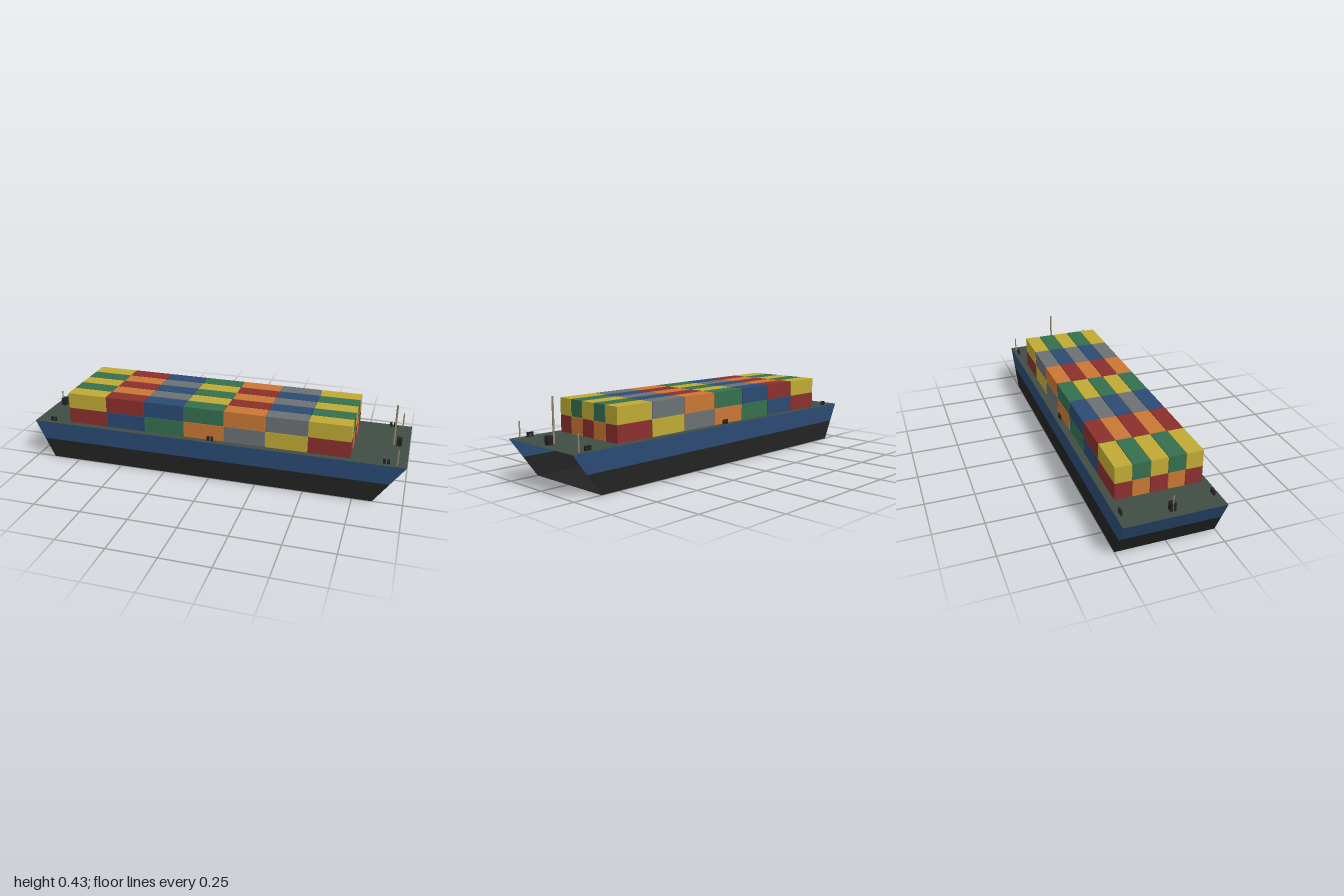
import * as THREE from 'three';

const DECK = 0.206, HALF = 0.25;

function material(name, color, side = THREE.FrontSide) {
  const m = new THREE.MeshStandardMaterial({ color, side });
  m.name = name;
  return m;
}

// Flat quads, each given as four corners counter-clockwise from outside
function quads(list) {
  const pos = [];
  for (const [a, b, c, d] of list) pos.push(...a, ...b, ...c, ...a, ...c, ...d);
  const g = new THREE.BufferGeometry();
  g.setAttribute('position', new THREE.Float32BufferAttribute(pos, 3));
  g.computeVertexNormals();
  return g;
}

// Raked ends: x of the stern and bow edges at height y
const sternX = y => -0.9 - 0.1 * y / DECK;
const bowX = y => 0.85 + 0.15 * y / DECK;

// Both sides and the stern between two heights; the bow end is open
function hullBand(y0, y1) {
  const p = (f, y, z) => [f(y), y, z * HALF];
  return [
    [p(sternX, y0, 1), p(bowX, y0, 1), p(bowX, y1, 1), p(sternX, y1, 1)],
    [p(bowX, y0, -1), p(sternX, y0, -1), p(sternX, y1, -1), p(bowX, y1, -1)],
    [p(sternX, y0, -1), p(sternX, y0, 1), p(sternX, y1, 1), p(sternX, y1, -1)],
  ];
}

// Horizontal sheet spanning the hull at height y
function sheet(y, up) {
  const q = [[sternX(y), y, HALF], [bowX(y), y, HALF], [bowX(y), y, -HALF], [sternX(y), y, -HALF]];
  return up ? q : q.reverse();
}

export function createModel() {
  const ship = new THREE.Group();
  ship.name = 'cargoShip';

  const blue = material('blue', 0x2b4a73, THREE.DoubleSide);
  const black = material('black', 0x232323, THREE.DoubleSide);
  const deckGreen = material('deckGreen', 0x404d44, THREE.DoubleSide);
  const tan = material('tan', 0x958a6b);
  const paints = [
    material('red', 0x8b302d), blue, material('green', 0x356f4e),
    material('orange', 0xc97734), material('grey', 0x6b7073), material('yellow', 0xbfaa35),
  ];

  const add = (parent, name, geometry, mat, x = 0, y = 0, z = 0) => {
    const mesh = new THREE.Mesh(geometry, mat);
    mesh.name = name;
    mesh.position.set(x, y, z);
    parent.add(mesh);
    return mesh;
  };

  // Hull
  const waterline = 0.106;
  add(ship, 'lowerHull', quads([...hullBand(0, waterline), sheet(0, false)]), black);
  add(ship, 'upperHull', quads(hullBand(waterline, DECK)), blue);
  add(ship, 'deck', quads([sheet(DECK, true)]), deckGreen);

  // Container stacks: seven bays, five rows, two tiers
  const containers = new THREE.Group();
  containers.name = 'containers';
  ship.add(containers);
  const box = new THREE.BoxGeometry(0.2145, 0.0845, 0.0835);
  for (let tier = 0; tier < 2; tier++)
    for (let row = 0; row < 5; row++)
      for (let bay = 0; bay < 7; bay++)
        add(containers, 'container', box, paints[(bay + 3 * row + 5 * tier) % 6],
          -0.693 + bay * 0.2183, 0.2495 + tier * 0.0865, 0.1765 - row * 0.0871);

  // Paired mooring bollards along both sides
  const bollard = new THREE.BoxGeometry(0.013, 0.023, 0.009);
  for (const x of [-0.9, 0, 0.9])
    for (const z of [-0.224, 0.224])
      for (const dx of [-0.01, 0.01])
        add(ship, 'bollard', bollard, black, x + dx, DECK + 0.0115, z);

  // Winch at each end
  const winch = new THREE.BoxGeometry(0.026, 0.042, 0.028);
  for (const x of [-0.95, 0.947]) add(ship, 'winch', winch, black, x, DECK + 0.021, 0);

  // Mast and light posts
  const pole = (name, x, z, r, top) => {
    const h = top - DECK;
    add(ship, name, new THREE.CylinderGeometry(r, r, h, 8), tan, x, DECK + h / 2, z);
  };
  pole('mast', 0.92, 0, 0.005, 0.425);
  pole('sternPost', -0.96, 0, 0.0035, 0.287);
  for (const z of [-0.23, 0.23]) pole('bowPost', 0.953, z, 0.0035, 0.287);

  return ship;
}
